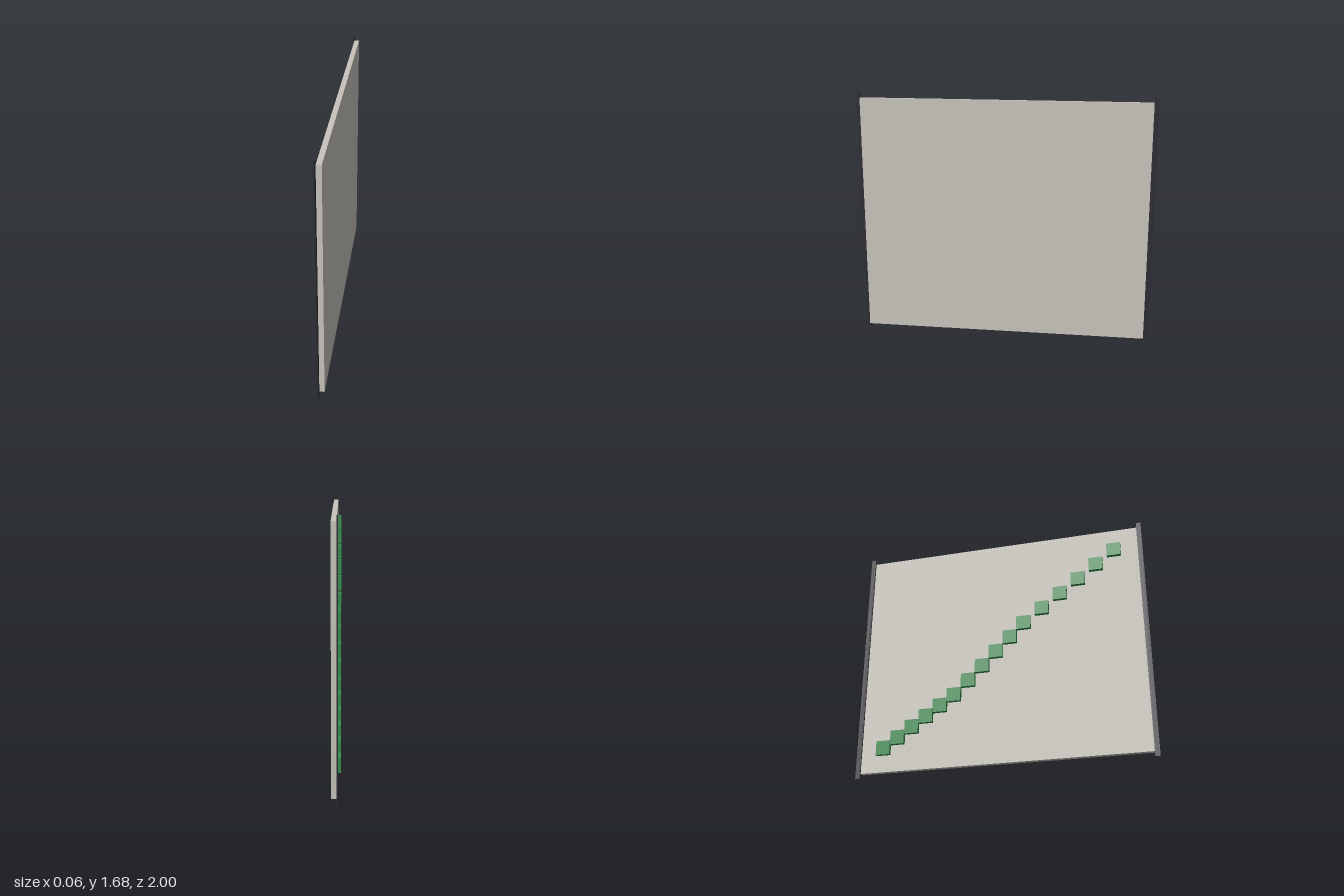
import * as THREE from 'three';

const panelGrey = new THREE.MeshStandardMaterial({ name: 'panelGrey', color: 0xc8c4bc });
const stepGreen = new THREE.MeshStandardMaterial({ name: 'stepGreen', color: 0x2f8f4a });
const railBlack = new THREE.MeshStandardMaterial({ name: 'railBlack', color: 0x2a2a32 });

// Box given by its lower and upper corners
function block(name, material, min, max) {
  const size = max.map((v, i) => v - min[i]);
  const mesh = new THREE.Mesh(new THREE.BoxGeometry(...size), material);
  mesh.position.set(...max.map((v, i) => (v + min[i]) / 2));
  mesh.name = name;
  return mesh;
}

export function createModel() {
  const model = new THREE.Group();
  model.name = 'wallPanel';

  // Upright panel
  model.add(block('panel', panelGrey, [-0.005, 0.035, -0.967], [0.028, 1.648, 0.967]));

  // Thin rails along both ends
  model.add(block('frontRail', railBlack, [-0.013, 0, 0.968], [-0.005, 1.68, 1]));
  model.add(block('backRail', railBlack, [-0.013, 0, -1], [-0.005, 1.68, -0.968]));

  // Rising trail of square tiles, with a shallow start and a wider-spaced end
  const tiles = new THREE.Group();
  tiles.name = 'tileTrail';
  const half = 0.048;
  for (let i = 0; i < 16; i++) {
    const z = -0.81 + 0.097 * Math.min(i, 10) + 0.1285 * Math.max(i - 10, 0);
    const y = 0.198 + 0.0666 * Math.min(i, 5) + 0.0957 * Math.max(i - 5, 0);
    tiles.add(block('tile', stepGreen, [-0.029, y - half, z - half], [-0.005, y + half, z + half]));
  }
  model.add(tiles);

  return model;
}
